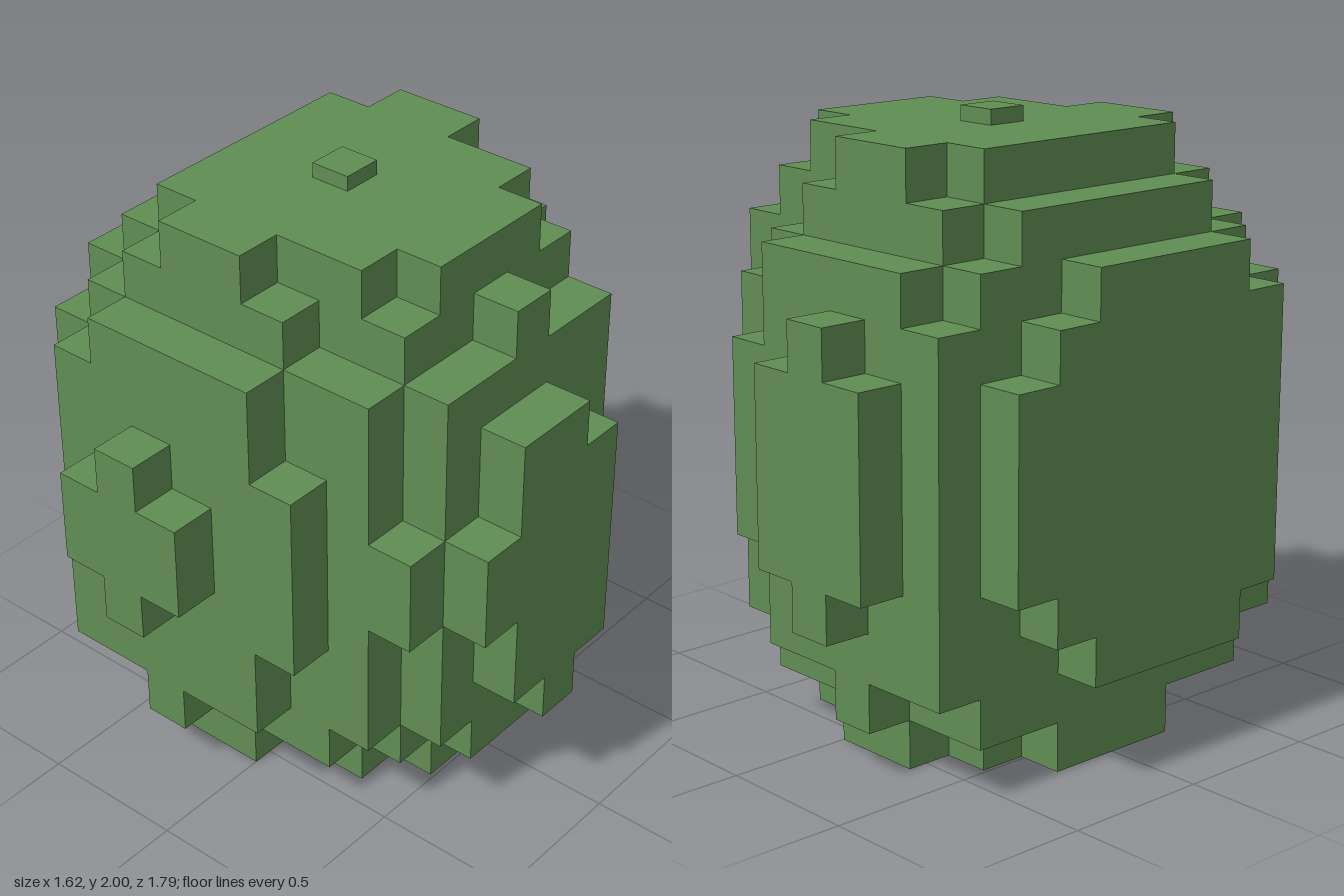
import * as THREE from 'three';
import { mergeGeometries } from 'three/addons/utils/BufferGeometryUtils.js';

const S = 0.1625; // edge of one block
const NX = 10, NY = 12, NZ = 11;

// Sections from the middle outward, the same to front and back.
// Each band is [first x, last x, blocks left out at top and bottom].
const sections = [
  [[2, 7, 0], [1, 8, 1], [0, 8, 2], [0, 9, 3]],
  [[2, 7, 0], [1, 7, 1], [0, 8, 2], [0, 9, 4]],
  [[2, 6, 0], [1, 7, 1], [1, 8, 2], [0, 8, 3]],
  [[3, 4, 0], [2, 5, 1], [1, 6, 2], [0, 7, 4]],
  [[2, 5, 2], [1, 5, 3], [1, 6, 4]],
  [[3, 3, 4], [2, 4, 5]],
];

// Uneven bumps: [x, first y, last y, first z, last z]
const bumps = [
  [0, 2, 9, 7, 7], [0, 3, 8, 8, 8],
  [1, 0, 0, 4, 6], [1, 1, 1, 2, 8], [1, 2, 2, 1, 9],
  [3, 1, 1, 1, 9], [6, 1, 1, 2, 8],
  [7, 2, 8, 2, 8], [7, 9, 9, 3, 8],
  [8, 1, 1, 4, 6], [8, 5, 6, 8, 8],
  [9, 2, 2, 5, 5], [9, 3, 3, 4, 6], [9, 8, 8, 5, 6], [9, 5, 6, 7, 7],
];

function filled(i, j, k) {
  if (k < 0 || k >= NZ) return false;
  const fromEnd = Math.min(j, NY - 1 - j);
  const taller = k === 0 ? 1 : 0; // the rear patch is one block taller each way
  return sections[Math.abs(k - 5)].some(([a, b, inset]) => i >= a && i <= b && fromEnd >= inset - taller) ||
    bumps.some(([x, y0, y1, z0, z1]) => i === x && j >= y0 && j <= y1 && k >= z0 && k <= z1);
}

// One outward square of a block, for each direction
function blockSide(x, y, z) {
  const g = new THREE.PlaneGeometry(S, S);
  if (y) g.rotateX(-y * Math.PI / 2);
  else g.rotateY(x ? x * Math.PI / 2 : z < 0 ? Math.PI : 0);
  return g.translate(x * S / 2, y * S / 2, z * S / 2);
}

// Skin of the block body: only sides with no neighbour
function bodyGeometry() {
  const sides = [1, -1].flatMap((s) => [[s, 0, 0], [0, s, 0], [0, 0, s]])
    .map((d) => ({ d, geometry: blockSide(...d) }));
  const faces = [];
  for (let k = 0; k < NZ; k++) for (let j = 0; j < NY; j++) for (let i = 0; i < NX; i++) {
    if (!filled(i, j, k)) continue;
    for (const { d, geometry } of sides) {
      if (filled(i + d[0], j + d[1], k + d[2])) continue;
      faces.push(geometry.clone().translate((i + 0.5 - NX / 2) * S, (j + 0.5) * S, (k + 0.5 - NZ / 2) * S));
    }
  }
  return mergeGeometries(faces);
}

export function createModel() {
  const model = new THREE.Group();
  model.name = 'blockBush';
  const green = new THREE.MeshStandardMaterial({ color: 0x5f8d52 });
  green.name = 'leaf green';

  // Rounded body of stepped blocks
  const body = new THREE.Mesh(bodyGeometry(), green);
  body.name = 'body';
  model.add(body);

  // Small stub on the top
  const stub = new THREE.Mesh(new THREE.BoxGeometry(0.14, 0.05, 0.14), green);
  stub.name = 'topStub';
  stub.position.set(-S / 2, NY * S + 0.025, 0);
  model.add(stub);

  return model;
}
